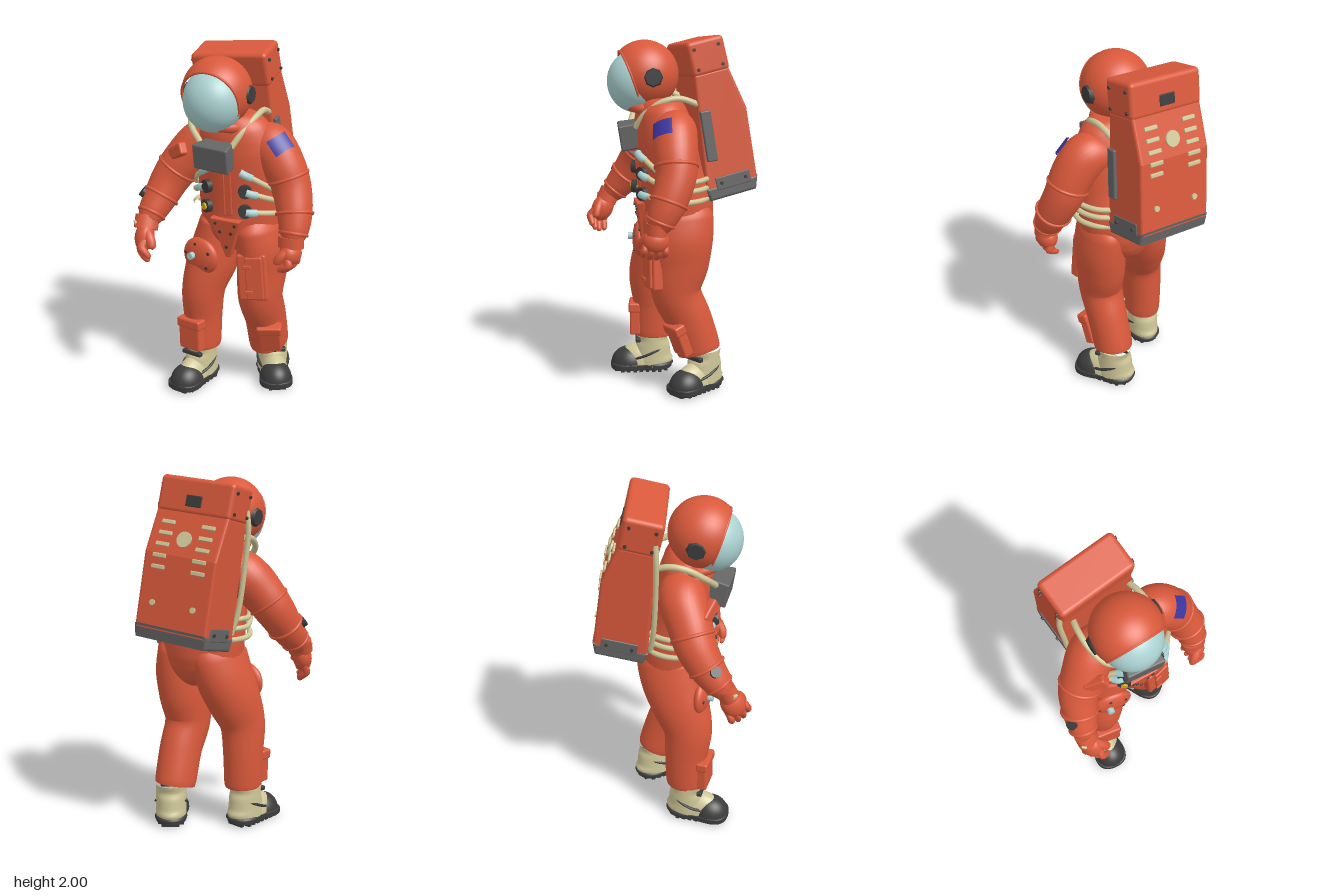
import * as THREE from 'three';
import { RoundedBoxGeometry } from 'three/addons/geometries/RoundedBoxGeometry.js';

const mat = (color) => new THREE.MeshStandardMaterial({ color });
const V = (x, y, z) => new THREE.Vector3(x, y, z);

// Skin of elliptical rings swept through points [x, y, z, sideRadius, frontRadius]
function loft(points, rows = 40, sides = 32) {
  const path = new THREE.CatmullRomCurve3(points.map((p) => V(p[0], p[1], p[2])));
  const radii = new THREE.CatmullRomCurve3(points.map((p) => V(p[3], p[4], 0)));
  const pos = [], index = [];
  for (let i = 0; i <= rows; i++) {
    const c = path.getPoint(i / rows), r = radii.getPoint(i / rows);
    const t = path.getTangent(i / rows);
    const u = t.clone().cross(V(0, 0, 1)).normalize(), v = u.clone().cross(t);
    for (let j = 0; j < sides; j++) {
      const a = (j / sides) * Math.PI * 2;
      const p = c.clone().addScaledVector(u, Math.cos(a) * r.x).addScaledVector(v, Math.sin(a) * r.y);
      pos.push(p.x, p.y, p.z);
      if (i < rows) {
        const a0 = i * sides + j, a1 = i * sides + ((j + 1) % sides);
        index.push(a0, a0 + sides, a1, a1, a0 + sides, a1 + sides);
      }
    }
  }
  const g = new THREE.BufferGeometry();
  g.setAttribute('position', new THREE.Float32BufferAttribute(pos, 3));
  g.setIndex(index);
  g.computeVertexNormals();
  return g;
}

export function createModel() {
  const root = new THREE.Group();
  const suit = mat(0xd9593b), tan = mat(0xcfc798), dark = mat(0x3c3c3c), grey = mat(0x666666);
  const glass = mat(0xacd2d2), yellow = mat(0xd8b010);

  const add = (parent, name, geo, m, p = [0, 0, 0], r = [0, 0, 0], s = [1, 1, 1]) => {
    const mesh = new THREE.Mesh(geo, m);
    mesh.name = name;
    mesh.position.set(...p);
    mesh.rotation.set(...r);
    mesh.scale.set(...s);
    parent.add(mesh);
    return mesh;
  };
  const group = (name, p, r = [0, 0, 0]) => {
    const g = new THREE.Group();
    g.name = name;
    g.position.set(...p);
    g.rotation.set(r[0], r[1], r[2], 'YXZ');
    root.add(g);
    return g;
  };
  const box = (w, h, d, r = 0.012) => new RoundedBoxGeometry(w, h, d, 3, r);
  const ball = new THREE.SphereGeometry(1, 40, 28);
  const dome = new THREE.SphereGeometry(1, 40, 16, 0, Math.PI * 2, 0, Math.PI / 2);
  const disc = (r, h) => new THREE.CylinderGeometry(r, r, h, 20);
  const hose = (pts, r = 0.015) =>
    new THREE.TubeGeometry(new THREE.CatmullRomCurve3(pts.map((p) => V(...p))), 40, r, 10);
  const bolt = (parent, p, r = [Math.PI / 2, 0, 0]) => add(parent, 'bolt', disc(0.009, 0.016), dark, p, r);

  // Torso and everything fixed to it
  const torso = group('torso', [0, 0, 0], [0, 0.15, 0]);
  add(torso, 'torsoSuit', loft([
    [-0.03, 1.67, 0.06, 0.01, 0.01], [-0.03, 1.65, 0.06, 0.12, 0.1], [-0.02, 1.58, 0.05, 0.2, 0.14],
    [0, 1.45, 0.03, 0.235, 0.165], [0, 1.25, 0, 0.24, 0.18], [0, 1.1, -0.035, 0.243, 0.206],
    [0, 1.0, -0.04, 0.238, 0.205], [0, 0.94, -0.042, 0.21, 0.19], [0, 0.89, -0.04, 0.15, 0.165],
    [0, 0.85, -0.035, 0.08, 0.12], [0, 0.825, -0.03, 0.01, 0.01]], 60), suit);
  const chest = box(0.22, 0.14, 0.14, 0.01), cp = chest.attributes.position;
  for (let i = 0; i < cp.count; i++) if (cp.getZ(i) < 0) cp.setX(i, cp.getX(i) * 0.75);
  add(torso, 'chestUnit', chest, grey, [-0.038, 1.45, 0.207], [0.15, -0.12, 0]);
  add(torso, 'zip', box(0.012, 0.28, 0.02, 0.005), suit, [-0.01, 1.24, 0.178], [0.08, 0, 0]);
  add(torso, 'zipFlap', box(0.05, 0.28, 0.02, 0.008), suit, [0.01, 1.24, 0.173], [0.08, 0, 0]);

  // Hoses wrap the waist from chest connectors to the pack
  for (const s of [1, -1]) {
    [[0.4, 1.36, 1.22], [0.52, 1.25, 1.17], [0.52, 1.14, 1.11]].forEach(([a0, y0, y1], k) => {
      const at = (t, out = 0) => {
        const a = a0 + (2.6 - a0) * t;
        return [s * (0.262 + out) * Math.sin(a), y0 + (y1 - y0) * Math.min(1, t * 2.2), (0.21 + out) * Math.cos(a) - 0.012];
      };
      if (s > 0 || k < 2) {
        add(torso, 'waistHose', hose([0.05, 0.15, 0.3, 0.45, 0.6, 0.8, 1].map((t) => at(t))), tan);
        add(torso, 'hoseConnector', hose([at(-0.02, 0.012), at(0.03, 0.014), at(0.09, 0.004)], 0.021), glass);
      } else {
        add(torso, 'waistHose', hose([0.2, 0.35, 0.5, 0.75, 1].map((t) => at(t))), tan);
        add(torso, 'dialCentre', disc(0.02, 0.045), yellow, at(-0.03, 0.002), [Math.PI / 2, 0, 0.5]);
      }
      if (k) add(torso, 'connectorBase', disc(0.037, 0.03), dark, at(-0.03), [Math.PI / 2, 0, -s * 0.5]);
    });
    add(torso, 'shoulderHose', hose([[s * 0.09 - 0.045, 1.5, 0.2], [s * 0.155 - 0.065, 1.58, 0.15],
      [s * 0.19 - 0.065, 1.645, 0.06], [s * 0.19 - 0.065, 1.66, -0.03], [s * 0.17 - 0.06, 1.62, -0.15]], 0.017), tan);
  }
  add(root, 'chestPocket', box(0.13, 0.07, 0.05), suit, [-0.262, 1.43, 0.22], [-0.1, -0.35, 0.5]);

  // Triangular panel at the front of the pelvis
  const tri = new THREE.Shape([[-0.085, 0.11], [-0.01, -0.11], [0.01, -0.11], [0.085, 0.11]].map((p) => new THREE.Vector2(...p)));
  const panel = group('pelvisPanel', [0.025, 0.97, 0.142], [0.14, 0.1, 0]);
  add(panel, 'panel', new THREE.ExtrudeGeometry(tri, { depth: 0.03, bevelSize: 0.006, bevelThickness: 0.006 }), suit);
  [[-0.06, 0.09], [0.06, 0.09], [-0.035, 0.04], [0.035, 0.04], [0, -0.05]].forEach(([x, y]) => bolt(panel, [x, y, 0.035]));

  // Neck seal and helmet
  add(root, 'neckSeal', new THREE.TorusGeometry(0.115, 0.03, 14, 40), suit, [-0.04, 1.59, 0.11], [Math.PI / 2 - 0.2, 0, 0]);
  const head = group('helmet', [-0.052, 1.777, 0.138], [0, 0.13, 0.05]);
  const cut = 1.08, tilt = 0.33;
  const shell = new THREE.SphereGeometry(0.19, 48, 32, 0, Math.PI * 2, cut, Math.PI - cut);
  add(head, 'helmetShell', shell.rotateX(Math.PI / 2 + tilt), suit);
  const rim = new THREE.TorusGeometry(0.188 * Math.sin(cut), 0.007, 10, 48);
  add(head, 'visorRim', rim.translate(0, 0, 0.188 * Math.cos(cut)).rotateX(tilt), suit);
  add(head, 'visor', ball, glass, [0, -0.037, 0.046], [0, 0, 0], [0.165, 0.172, 0.162]);
  for (const s of [1, -1]) {
    add(head, 'earPod', new THREE.CylinderGeometry(0.045, 0.065, 0.04, 8), dark, [s * 0.177, -0.01, -0.02], [0, 0, -s * Math.PI / 2]);
  }

  // Arms, with folds at elbow and cuff
  const arms = {
    left: [[0.1, 1.49, -0.02, 0.1, 0.11], [0.19, 1.475, -0.02, 0.13, 0.122], [0.268, 1.385, -0.02, 0.12, 0.12],
      [0.322, 1.27, -0.02, 0.11, 0.11], [0.372, 1.14, 0.02, 0.096, 0.098], [0.392, 1.05, 0.06, 0.08, 0.08], [0.395, 0.99, 0.085, 0.05, 0.05]],
    right: [[-0.1, 1.48, 0.03, 0.1, 0.11], [-0.205, 1.455, 0.06, 0.13, 0.13], [-0.288, 1.36, 0.12, 0.12, 0.122],
      [-0.345, 1.26, 0.17, 0.11, 0.112], [-0.373, 1.16, 0.235, 0.096, 0.098], [-0.387, 1.08, 0.3, 0.08, 0.08], [-0.39, 1.02, 0.35, 0.05, 0.05]],
  };
  for (const [side, pts] of Object.entries(arms)) {
    add(root, side + 'Arm', loft(pts), suit);
    const curve = new THREE.CatmullRomCurve3(pts.map((p) => V(p[0], p[1], p[2])));
    for (const [t, r] of [[0.43, 0.112], [0.67, 0.097], [0.86, 0.073]]) {
      const fold = add(root, side + 'SleeveFold', new THREE.TorusGeometry(r, 0.01, 10, 36), suit);
      fold.position.copy(curve.getPoint(t));
      fold.lookAt(fold.position.clone().add(curve.getTangent(t)));
    }
  }
  add(root, 'wristGauge', disc(0.03, 0.05), dark, [-0.437, 1.175, 0.295], [0.6, 0, 0.7]);
  add(root, 'cuffTab', box(0.03, 0.035, 0.02, 0.006), tan, [-0.425, 1.03, 0.4], [0.3, -0.6, 0]);

  // Curved badge on the left upper arm
  const badgeMat = mat(0x3d35a0);
  badgeMat.side = THREE.DoubleSide;
  add(root, 'armBadge', new THREE.CylinderGeometry(0.138, 0.138, 0.095, 16, 1, true, 0.52, 0.9), badgeMat, [0.217, 1.454, -0.02], [0, 0, 0.72]);

  // Gloves: fingers lie along the local z axis, hand points down
  for (const [side, p, r, s, size] of [['left', [0.392, 1.0, 0.085], [-0.1, 0.15, 0.02], 1, [1.4, 1, 1.1]],
    ['right', [-0.39, 1.03, 0.35], [-0.42, 0.75, -0.2], -1, [1.3, 1.25, 1.05]]]) {
    const hand = group(side + 'Glove', p, r);
    hand.scale.set(...size);
    add(hand, 'wrist', disc(0.052, 0.06), suit);
    add(hand, 'palm', ball, suit, [0, -0.065, 0], [0, 0, 0], [0.042, 0.068, 0.066]);
    for (let i = 0; i < 4; i++) {
      const z = (i - 1.5) * 0.032, d = i === 3 || i === 0 ? 0.012 : 0;
      add(hand, 'finger', loft([[0, -0.085, z, 0.016, 0.017], [s * 0.008, -0.12, z * 1.1, 0.018, 0.018],
        [-s * 0.01, -0.15 + d, z * 1.1, 0.016, 0.016], [-s * 0.03, -0.168 + d, z, 0.012, 0.012], [-s * 0.036, -0.172 + d, z, 0.001, 0.001]], 14, 10), suit);
    }
    add(hand, 'thumb', loft([[0, -0.035, 0.035, 0.02, 0.02], [-s * 0.022, -0.075, 0.058, 0.021, 0.021],
      [-s * 0.036, -0.11, 0.06, 0.018, 0.018], [-s * 0.04, -0.122, 0.058, 0.001, 0.001]], 14, 10), suit);
  }

  // Legs, closed at the trouser hems
  add(root, 'rightLeg', loft([[-0.11, 1.09, -0.03, 0.09, 0.14], [-0.12, 1.0, -0.03, 0.122, 0.188], [-0.14, 0.88, -0.007, 0.137, 0.183],
    [-0.165, 0.75, 0.04, 0.139, 0.167], [-0.19, 0.6, 0.09, 0.12, 0.14], [-0.203, 0.42, 0.085, 0.108, 0.122],
    [-0.205, 0.25, 0.085, 0.102, 0.117], [-0.205, 0.225, 0.085, 0.098, 0.112], [-0.205, 0.22, 0.085, 0.01, 0.01]], 80), suit);
  add(root, 'leftLeg', loft([[0.11, 1.09, -0.035, 0.09, 0.14], [0.12, 1.0, -0.042, 0.122, 0.195], [0.13, 0.88, -0.046, 0.134, 0.19],
    [0.124, 0.75, -0.045, 0.132, 0.172], [0.12, 0.58, -0.032, 0.123, 0.14], [0.112, 0.42, -0.1, 0.114, 0.13],
    [0.1, 0.25, -0.155, 0.112, 0.126], [0.1, 0.225, -0.16, 0.108, 0.122], [0.1, 0.22, -0.162, 0.01, 0.01]], 80), suit);

  // Leg pockets with flaps
  const pocket = (name, p, r, w, h) => {
    const g = group(name, p, r);
    add(g, 'pouch', box(w, h, 0.06), suit);
    add(g, 'flap', box(w + 0.015, h * 0.3, 0.07), suit, [0, h * 0.37, 0.003]);
  };
  pocket('rightShinPocket', [-0.205, 0.33, 0.195], [0, -0.05, 0.03], 0.15, 0.19);
  pocket('leftShinPocket', [0.18, 0.315, -0.045], [0.35, 0.5, 0.05], 0.13, 0.19);
  const thigh = group('leftThighPocket', [0.158, 0.745, 0.1], [-0.02, 0.35, 0.08]);
  add(thigh, 'pouch', box(0.165, 0.27, 0.06), suit);
  add(thigh, 'cover', box(0.1, 0.25, 0.02, 0.008), suit, [0.015, 0, 0.035]);
  for (const y of [0.07, -0.08]) add(thigh, 'tab', box(0.045, 0.02, 0.012, 0.004), suit, [-0.02, y, 0.047]);

  // Round plate with bolts on the right thigh
  const plate = group('thighPlate', [-0.155, 0.82, 0.165], [0, -0.05, 0]);
  add(plate, 'plate', ball, suit, [0, 0, 0], [0, 0, 0], [0.118, 0.108, 0.045]);
  for (let i = 0; i < 5; i++) {
    const a = 0.5 + i * 1.257;
    bolt(plate, [0.085 * Math.cos(a), 0.075 * Math.sin(a), 0.026]);
  }
  add(plate, 'valve', disc(0.02, 0.04), glass, [-0.025, 0.01, 0.05], [Math.PI / 2, 0, 0]);

  // Boots
  const outline = new THREE.Shape();
  outline.moveTo(-0.075, 0.06);
  outline.bezierCurveTo(-0.09, 0.15, -0.12, 0.25, 0, 0.25);
  outline.bezierCurveTo(0.12, 0.25, 0.09, 0.15, 0.075, 0.06);
  outline.bezierCurveTo(0.12, -0.15, -0.12, -0.15, -0.075, 0.06);
  const sole = new THREE.ExtrudeGeometry(outline, { depth: 0.025, bevelSize: 0.008, bevelThickness: 0.006, curveSegments: 16 });
  sole.rotateX(Math.PI / 2).translate(0, 0.044, 0);
  for (const [side, x, z, yaw] of [['right', -0.215, 0.085, 0], ['left', 0.097, -0.2, 0.72]]) {
    const boot = group(side + 'Boot', [x, 0, z], [0, yaw, 0]);
    add(boot, 'shaft', loft([[0, 0.235, 0.01, 0.088, 0.1], [0, 0.17, 0.008, 0.088, 0.1], [0, 0.09, 0.01, 0.088, 0.11], [0, 0.03, 0.01, 0.088, 0.11]], 16), tan);
    add(boot, 'instep', dome, tan, [0, 0.04, 0.085], [0, 0, 0], [0.083, 0.125, 0.14]);
    add(boot, 'sole', sole, dark);
    add(boot, 'toeCap', dome, dark, [0, 0.04, 0.15], [0, 0, 0], [0.094, 0.1, 0.106]);
    add(boot, 'heelCup', dome, dark, [0, 0.04, -0.01], [0, 0, 0], [0.094, 0.035, 0.105]);
    add(boot, 'ankleStrap', box(0.13, 0.025, 0.03, 0.006), dark, [0, 0.195, 0.095]);
    add(boot, 'instepStrap', new THREE.TorusGeometry(0.09, 0.008, 8, 36), dark, [0, 0.115, 0.035], [Math.PI / 2 + 0.4, 0, 0], [1, 1.35, 1]);
    for (let i = 0; i < 9; i++) {
      const w = i === 0 || i === 8 ? 0.1 : 0.15;
      add(boot, 'tread', new THREE.BoxGeometry(w, 0.02, 0.02), dark, [0, 0.01, -0.07 + i * 0.037]);
    }
  }

  // Life support pack
  const pack = group('backpack', [-0.133, 1.868, -0.16], [0.225, 0.22, 0.08]);
  const slab = (profile, width) => {
    const shape = new THREE.Shape(profile.map((p) => new THREE.Vector2(...p)));
    const g = new THREE.ExtrudeGeometry(shape, { depth: width - 0.03, bevelSize: 0.015, bevelOffset: -0.015, bevelThickness: 0.015, bevelSegments: 3 });
    return g.rotateY(-Math.PI / 2).translate((width - 0.03) / 2, 0, 0);
  };
  add(pack, 'upperCase', box(0.45, 0.195, 0.215, 0.025), suit);
  add(pack, 'mainCase', slab([[-0.1, -0.08], [-0.15, -0.32], [-0.12, -0.72], [0.18, -0.72], [0.1, -0.08]], 0.44), suit);
  add(pack, 'baseTray', slab([[-0.125, -0.7], [-0.1, -0.775], [0.17, -0.775], [0.185, -0.7]], 0.445), grey);
  const back = (y) => (y > -0.32 ? -0.1 - (-0.08 - y) * 0.208 : -0.15 + (-0.32 - y) * 0.075);
  add(pack, 'display', box(0.095, 0.06, 0.02, 0.004), dark, [0, -0.025, -0.103]);
  add(pack, 'roundPort', disc(0.043, 0.02), tan, [0, -0.23, back(-0.23)], [Math.PI / 2 + 0.2, 0, 0]);
  for (const s of [1, -1]) {
    for (let i = 0; i < 5; i++) {
      const y = -0.15 - i * 0.06;
      add(pack, 'vent', box(0.08, 0.022, 0.02, 0.004), tan, [s * 0.122, y, back(y)], [y > -0.32 ? 0.2 : -0.07, 0, 0]);
    }
    add(pack, 'rearPlug', disc(0.016, 0.02), tan, [s * 0.125, -0.58, back(-0.58)], [Math.PI / 2, 0, 0]);
    add(pack, 'sideBracket', box(0.012, 0.07, 0.2, 0.005), grey, [s * 0.22, -0.69, 0.02]);
    for (const z of [-0.05, 0.09]) {
      bolt(pack, [s * 0.228, -0.69, z], [0, 0, Math.PI / 2]);
      for (const y of [-0.06, 0.05]) bolt(pack, [s * 0.226, y, z - 0.02], [0, 0, Math.PI / 2]);
    }
  }
  add(pack, 'sideUnit', box(0.035, 0.28, 0.06, 0.008), grey, [0.22, -0.42, 0.1], [-0.08, 0, 0]);
  add(pack, 'sideHose', hose([[-0.215, -0.02, 0.08], [-0.232, -0.1, 0.1], [-0.232, -0.3, 0.14], [-0.222, -0.55, 0.18], [-0.2, -0.68, 0.19]]), tan);
  return root;
}
